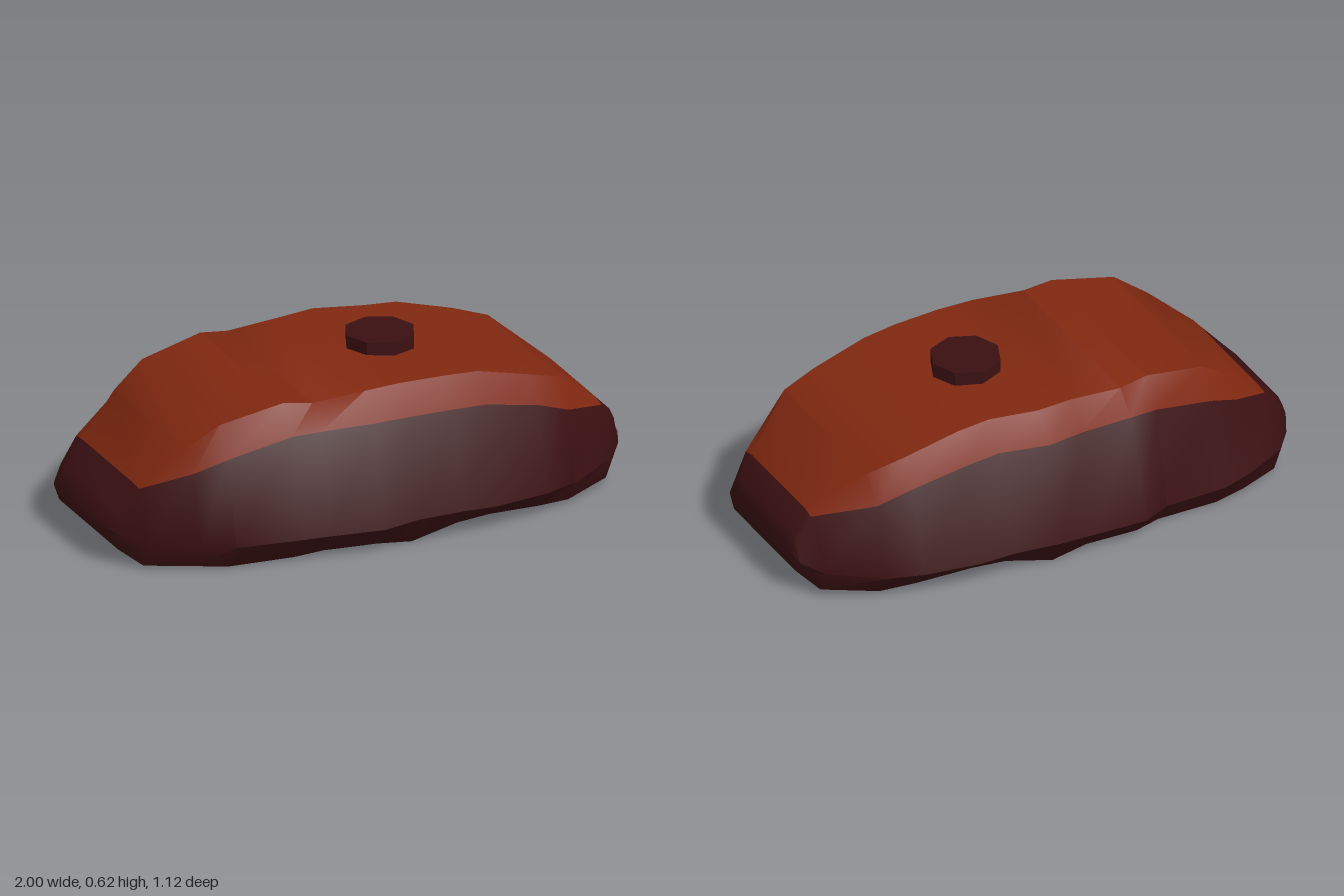
import * as THREE from 'three';
import { toCreasedNormals } from 'three/addons/utils/BufferGeometryUtils.js';

// Cross-sections along x:
// x, bottom y, widest y, cap edge y, top y, widest z (back, front), cap edge z (back, front)
const SECTIONS = [
  [-1, 0.12, 0.14, 0.16, 0.18, 0.22, 0.20, 0.20, 0.18],
  [-0.96, 0.06, 0.12, 0.20, 0.22, 0.30, 0.28, 0.25, 0.22],
  [-0.89, 0.01, 0.12, 0.29, 0.295, 0.39, 0.355, 0.27, 0.27],
  [-0.73, 0.01, 0.11, 0.36, 0.43, 0.465, 0.445, 0.36, 0.38],
  [-0.61, 0.005, 0.10, 0.41, 0.515, 0.495, 0.495, 0.395, 0.42],
  [-0.37, 0.01, 0.10, 0.465, 0.565, 0.505, 0.525, 0.43, 0.44],
  [-0.26, 0.02, 0.10, 0.47, 0.55, 0.555, 0.535, 0.44, 0.45],
  [-0.06, 0.02, 0.10, 0.47, 0.565, 0.55, 0.56, 0.445, 0.46],
  [0.08, 0, 0.11, 0.47, 0.57, 0.56, 0.545, 0.465, 0.455],
  [0.26, 0.04, 0.11, 0.465, 0.565, 0.54, 0.54, 0.42, 0.445],
  [0.39, 0.045, 0.10, 0.455, 0.555, 0.53, 0.525, 0.425, 0.43],
  [0.60, 0.03, 0.10, 0.41, 0.50, 0.50, 0.49, 0.41, 0.41],
  [0.73, 0.015, 0.10, 0.36, 0.46, 0.46, 0.44, 0.38, 0.385],
  [0.92, 0.03, 0.12, 0.295, 0.305, 0.36, 0.33, 0.24, 0.25],
  [0.985, 0.09, 0.14, 0.22, 0.24, 0.28, 0.25, 0.24, 0.21],
  [1, 0.15, 0.165, 0.18, 0.20, 0.25, 0.21, 0.22, 0.18],
];
const RING = 8;
const CAP_START = 2;
const CAP_END = SECTIONS.length - 3;

function bodyGeometry() {
  const positions = [];
  for (const [x, bottom, wide, edge, top, zb, zf, eb, ef] of SECTIONS) {
    // ring runs from the back foot over the top to the front foot
    const ring = [
      [bottom, -zb * 0.87], [wide, -zb], [edge, -eb], [top, -eb * 0.82],
      [top, ef * 0.82], [edge, ef], [wide, zf], [bottom, zf * 0.87],
    ];
    for (const [y, z] of ring) positions.push(x, y, z);
  }

  const shell = [], cap = [];
  for (let i = 0; i < SECTIONS.length - 1; i++) {
    for (let k = 0; k < RING; k++) {
      const next = (k + 1) % RING;
      const a = i * RING + k, b = i * RING + next;
      const c = a + RING, d = b + RING;
      const onCap = k >= 2 && k <= 4 && i >= CAP_START && i < CAP_END;
      (onCap ? cap : shell).push(a, b, c, b, d, c);
    }
  }
  // close both ends
  const last = (SECTIONS.length - 1) * RING;
  for (let k = 1; k < RING - 1; k++) {
    shell.push(0, k + 1, k, last, last + k, last + k + 1);
  }

  const geometry = new THREE.BufferGeometry();
  geometry.setAttribute('position', new THREE.Float32BufferAttribute(positions, 3));
  geometry.setIndex([...shell, ...cap]);
  geometry.addGroup(0, shell.length, 0);
  geometry.addGroup(shell.length, cap.length, 1);
  return toCreasedNormals(geometry, 0.8);
}

export function createModel() {
  const model = new THREE.Group();
  model.name = 'roundedShell';

  const darkMaroon = new THREE.MeshStandardMaterial({ color: 0x3b1012 });
  darkMaroon.name = 'darkMaroon';
  const rustBrown = new THREE.MeshStandardMaterial({ color: 0x802810 });
  rustBrown.name = 'rustBrown';

  // loaf-shaped body with its rust-coloured top
  const body = new THREE.Mesh(bodyGeometry(), [darkMaroon, rustBrown]);
  body.name = 'body';
  model.add(body);

  // octagonal knob on top
  const knobGeometry = toCreasedNormals(new THREE.CylinderGeometry(0.13, 0.13, 0.115, 8), 0.5);
  const knob = new THREE.Mesh(knobGeometry, darkMaroon);
  knob.name = 'topKnob';
  knob.position.set(0.17, 0.56, 0);
  model.add(knob);

  return model;
}
